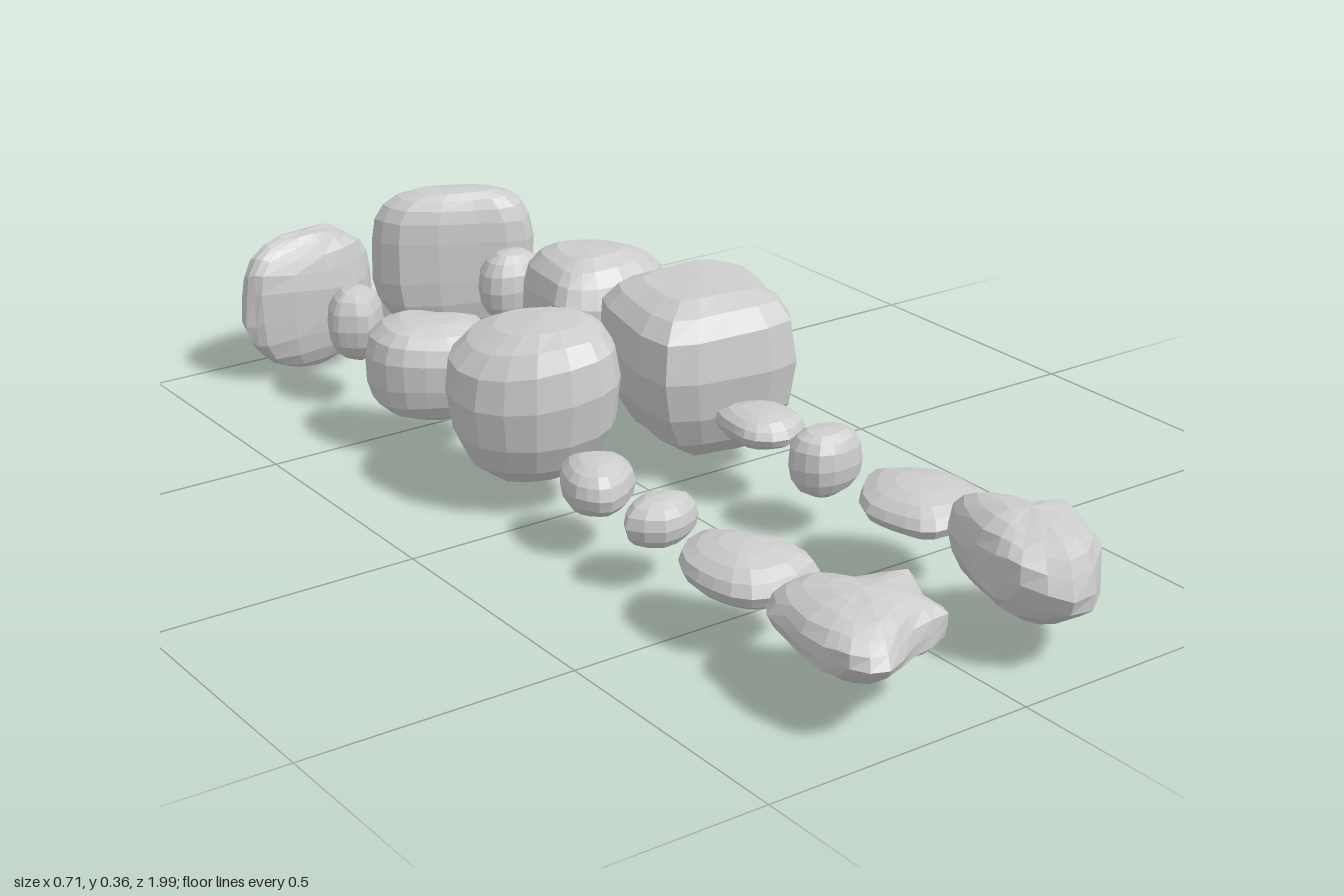
import * as THREE from 'three';

const stone = new THREE.MeshStandardMaterial({ color: 0xcccccc, flatShading: true });
stone.name = 'grey stone';

// One rock: a closed plan outline (x, z pairs) swept through a rounded vertical profile.
// mid: height of the widest ring (0..1); top / bottom: squareness of each half (2 = round);
// lump / waves: size and count of the bumps; tilt: rise along x and z; peak / foot: x, z of the poles.
function rock(name, y0, y1, outline, {
  mid = 0.5, top = 2.7, bottom = 2.4, lump = 0.02, waves = 3, detail = 2, rings = 9, tilt = [0, 0], peak, foot,
} = {}) {
  const pts = [];
  for (let i = 0; i < outline.length; i += 2) pts.push(new THREE.Vector3(outline[i], 0, outline[i + 1]));
  const segs = pts.length * detail;
  const plan = new THREE.CatmullRomCurve3(pts, true, 'centripetal').getPoints(segs).slice(0, segs);
  const centre = new THREE.Vector3();
  plan.forEach(p => centre.addScaledVector(p, 1 / segs));
  const high = peak ? new THREE.Vector3(peak[0], 0, peak[1]) : centre;
  const low = foot ? new THREE.Vector3(foot[0], 0, foot[1]) : centre;
  const yMid = y0 + (y1 - y0) * mid;
  const seed = centre.x * 17 + centre.z * 11;
  const lean = (x, z) => tilt[0] * (x - centre.x) + tilt[1] * (z - centre.z);

  const pos = [high.x, y1 + lean(high.x, high.z), high.z], index = [];
  for (let r = 1; r < rings; r++) {
    const a = Math.PI / 2 - (r / rings) * Math.PI;
    const n = a > 0 ? top : bottom;
    const h = Math.pow(Math.abs(Math.sin(a)), 2 / n);
    const s = Math.pow(Math.cos(a), 2 / n);
    const y = a > 0 ? yMid + h * (y1 - yMid) : yMid - h * (yMid - y0);
    const hub = a > 0 ? high : low;
    plan.forEach((p, i) => {
      const th = (i / segs) * Math.PI * 2;
      const k = s * (1 + lump * Math.sin(waves * th + r * 1.3 + seed) * Math.cos(2 * th - r * 0.9 + seed));
      const dy = lump * 0.6 * (y1 - y0) * Math.sin((waves - 1) * th + r + seed) * s;
      const x = hub.x + (p.x - hub.x) * k, z = hub.z + (p.z - hub.z) * k;
      pos.push(x, y + dy + lean(x, z), z);
    });
  }
  pos.push(low.x, y0 + lean(low.x, low.z), low.z);

  const at = (r, i) => 1 + r * segs + (i % segs);
  const last = pos.length / 3 - 1;
  for (let i = 0; i < segs; i++) {
    index.push(0, at(0, i), at(0, i + 1));
    for (let r = 0; r < rings - 2; r++) {
      index.push(at(r, i), at(r + 1, i), at(r + 1, i + 1), at(r, i), at(r + 1, i + 1), at(r, i + 1));
    }
    index.push(at(rings - 2, i), last, at(rings - 2, i + 1));
  }
  // Keep the faces outward whichever way the outline runs.
  let area = 0;
  plan.forEach((p, i) => { const q = plan[(i + 1) % segs]; area += p.x * q.z - q.x * p.z; });
  if (area > 0) for (let i = 0; i < index.length; i += 3) [index[i + 1], index[i + 2]] = [index[i + 2], index[i + 1]];

  const geo = new THREE.BufferGeometry();
  geo.setAttribute('position', new THREE.Float32BufferAttribute(pos, 3));
  geo.setIndex(index);
  geo.computeVertexNormals();
  const mesh = new THREE.Mesh(geo, stone);
  mesh.name = name;
  return mesh;
}

export function createModel() {
  const group = new THREE.Group();
  group.name = 'two rows of rocks';
  const lens = { top: 2.1, bottom: 2.1, lump: 0.03, rings: 8 };
  const pebble = { top: 2.3, bottom: 2.3, rings: 8 };
  const craggy = { top: 2.5, bottom: 2.3, lump: 0.05, waves: 5, rings: 10 };
  const slab = { top: 3.4, bottom: 2.5, mid: 0.52, rings: 11, lump: 0.015 };
  const boulder = { rings: 8, lump: 0.025 };

  group.add(
    // Right row (-x), front to back
    rock('rightFrontCrag', 0.075, 0.2, [-0.325, 0.9, -0.315, 0.78, -0.28, 0.715, -0.215, 0.69, -0.15, 0.75,
      -0.055, 0.795, -0.085, 0.86, -0.1, 0.93, -0.18, 0.94, -0.265, 0.985, -0.315, 0.95],
      { ...craggy, top: 2.2, bottom: 2, foot: [-0.16, 0.82] }),
    rock('rightFlatStone', 0.08, 0.175, [-0.31, 0.565, -0.29, 0.485, -0.215, 0.445, -0.155, 0.515,
      -0.115, 0.57, -0.13, 0.65, -0.245, 0.68, -0.295, 0.635], lens),
    rock('rightSmallPebble', 0.08, 0.17, [-0.285, 0.335, -0.255, 0.295, -0.2, 0.28, -0.14, 0.33,
      -0.17, 0.37, -0.24, 0.385], pebble),
    rock('rightPebble', 0.075, 0.175, [-0.285, 0.16, -0.25, 0.085, -0.21, 0.075, -0.145, 0.115,
      -0.16, 0.185, -0.24, 0.23, -0.275, 0.205], pebble),
    rock('rightBoulder', 0.055, 0.35, [-0.335, -0.055, -0.325, -0.17, -0.26, -0.225, -0.18, -0.2,
      -0.055, -0.065, -0.08, 0.025, -0.145, 0.065, -0.26, 0.03],
      { ...boulder, mid: 0.6, top: 2.8, bottom: 2.3, tilt: [0.12, 0], peak: [-0.17, -0.08] }),
    rock('rightRoundRock', 0.065, 0.265, [-0.325, -0.385, -0.32, -0.465, -0.27, -0.525, -0.2, -0.5, -0.155, -0.45,
      -0.09, -0.385, -0.115, -0.32, -0.18, -0.285, -0.27, -0.33], { lump: 0.03 }),
    rock('rightBackPebble', 0.1, 0.245, [-0.285, -0.655, -0.265, -0.71, -0.225, -0.74, -0.175, -0.725,
      -0.16, -0.675, -0.195, -0.63, -0.235, -0.6, -0.27, -0.63], pebble),
    rock('rightBackSlab', 0.01, 0.295, [-0.355, -0.88, -0.34, -0.925, -0.21, -0.965, -0.08, -0.96,
      -0.06, -0.92, -0.09, -0.855, -0.19, -0.835, -0.33, -0.855],
      { ...slab, top: 2.6, bottom: 2.3, lump: 0.04, waves: 4 }),

    // Left row (+x), front to back
    rock('leftFrontCrag', 0.065, 0.24, [0.035, 0.875, 0.06, 0.77, 0.11, 0.69, 0.16, 0.72, 0.2, 0.77,
      0.285, 0.8, 0.26, 0.875, 0.215, 0.935, 0.095, 0.995, 0.045, 0.925], { ...craggy, tilt: [-0.12, -0.04] }),
    rock('leftFlatStone', 0.11, 0.19, [0.045, 0.555, 0.09, 0.485, 0.15, 0.45, 0.24, 0.52,
      0.25, 0.6, 0.21, 0.67, 0.09, 0.68, 0.06, 0.635], lens),
    rock('leftSmallPebble', 0.08, 0.205, [0.07, 0.33, 0.09, 0.29, 0.15, 0.275, 0.205, 0.305,
      0.2, 0.36, 0.15, 0.385, 0.09, 0.375], { ...pebble, top: 2.8 }),
    rock('leftPebble', 0.115, 0.185, [0.07, 0.16, 0.085, 0.085, 0.15, 0.075, 0.205, 0.12,
      0.195, 0.205, 0.135, 0.235, 0.08, 0.21], lens),
    rock('leftBoulder', 0.02, 0.355, [0.0, 0.05, 0.01, -0.11, 0.04, -0.22, 0.16, -0.235, 0.28, -0.24,
      0.355, -0.17, 0.3, 0, 0.265, 0.09, 0.13, 0.08],
      { ...boulder, mid: 0.6, top: 3.3, bottom: 2.1, foot: [0.19, -0.06] }),
    rock('leftRoundRock', 0.03, 0.335, [0.02, -0.37, 0.035, -0.475, 0.085, -0.53, 0.165, -0.515, 0.27, -0.46,
      0.285, -0.33, 0.215, -0.275, 0.08, -0.275, 0.025, -0.31], { top: 2.9, bottom: 2.6, lump: 0.025, rings: 10 }),
    rock('leftBackPebble', 0.1, 0.25, [0.065, -0.67, 0.085, -0.715, 0.135, -0.728, 0.19, -0.715,
      0.208, -0.67, 0.19, -0.63, 0.135, -0.617, 0.085, -0.63], pebble),
    rock('leftBackSlab', 0, 0.32, [-0.01, -0.985, 0.03, -1, 0.16, -0.965, 0.295, -0.885,
      0.288, -0.825, 0.25, -0.795, 0.16, -0.825, 0.01, -0.905], slab),
  );
  return group;
}
